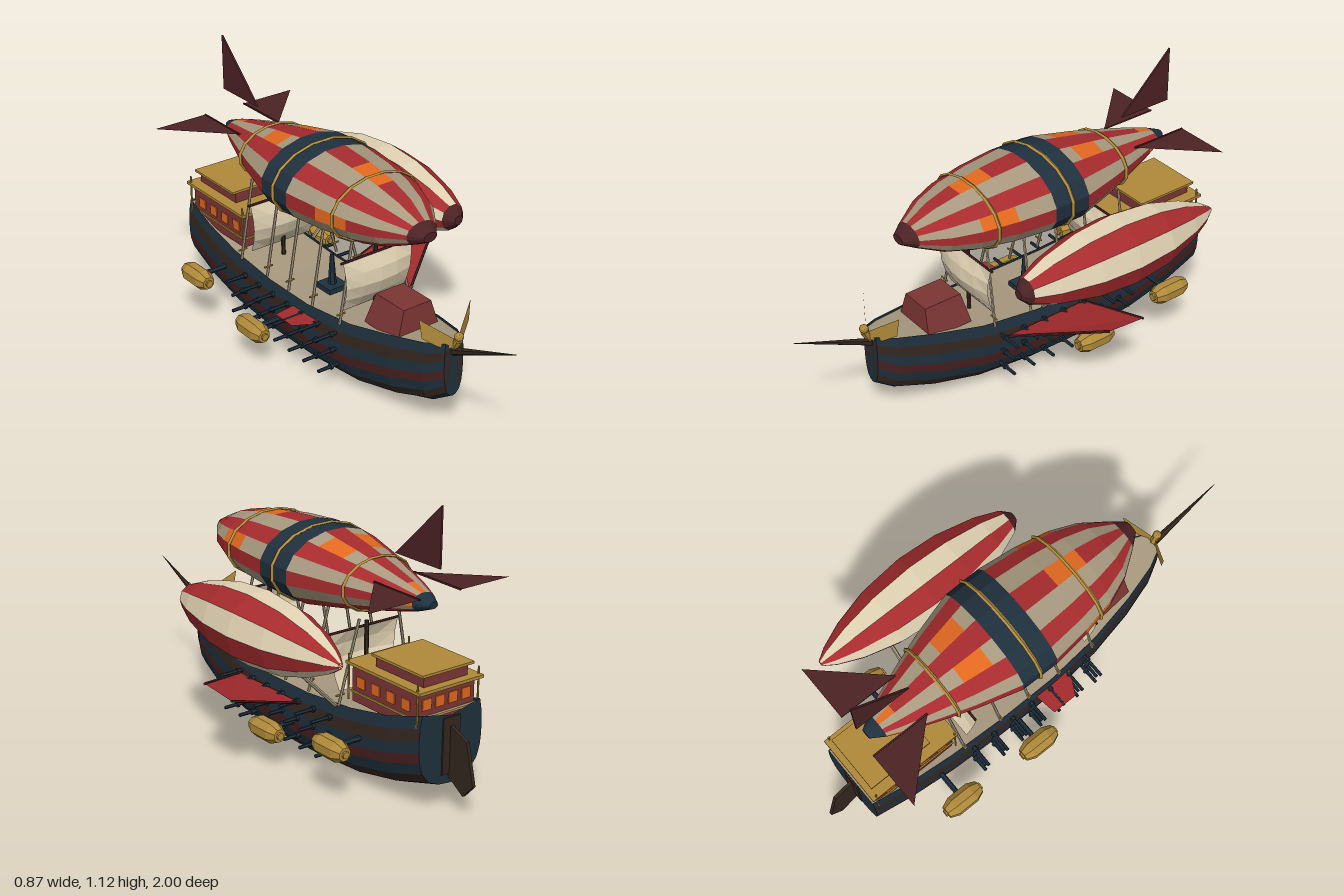
import * as THREE from 'three';

const paint = (name, color) => new THREE.MeshStandardMaterial({ name, color, flatShading: true, side: THREE.DoubleSide });
const M = {
  navy: paint('navy', 0x1f303d), brown: paint('dark brown', 0x35271f), plank: paint('plank red', 0x48201f),
  tan: paint('tan', 0xa8997f), cream: paint('cream', 0xe2d3b4), red: paint('red', 0xa62b2e),
  gold: paint('gold', 0xb08a3a), orange: paint('orange', 0xe2691f), maroon: paint('maroon', 0x4c2224),
  cabin: paint('cabin red', 0x7c3634),
};
const V = (x, y, z) => new THREE.Vector3(x, y, z);

export function createModel() {
  const model = new THREE.Group();
  model.name = 'airship';
  const ship = new THREE.Group();
  ship.name = 'ship';
  ship.position.x = -0.087;
  model.add(ship);

  const add = (name, geo, mat) => {
    const m = new THREE.Mesh(geo, mat);
    m.name = name;
    ship.add(m);
    return m;
  };
  const box = (name, mat, w, h, d, x, y, z) => add(name, new THREE.BoxGeometry(w, h, d).translate(x, y, z), mat);
  // straight round bar between two points
  const rod = (name, mat, a, b, r0, r1 = r0, sides = 6) => {
    const m = add(name, new THREE.CylinderGeometry(r1, r0, a.distanceTo(b), sides), mat);
    m.position.copy(a).lerp(b, 0.5);
    m.quaternion.setFromUnitVectors(V(0, 1, 0), b.clone().sub(a).normalize());
    return m;
  };
  // faces between rows of points, coloured quad by quad
  const skin = (name, rows, pick) => {
    const buckets = new Map();
    for (let i = 0; i < rows.length - 1; i++) {
      for (let j = 0; j < rows[i].length - 1; j++) {
        const mat = pick(i, j);
        if (!buckets.has(mat)) buckets.set(mat, []);
        const a = rows[i][j], b = rows[i + 1][j], c = rows[i + 1][j + 1], d = rows[i][j + 1];
        buckets.get(mat).push(a, b, c, a, c, d);
      }
    }
    const geo = new THREE.BufferGeometry().setFromPoints([...buckets.values()].flat());
    let start = 0, k = 0;
    for (const pts of buckets.values()) {
      geo.addGroup(start, pts.length, k++);
      start += pts.length;
    }
    geo.computeVertexNormals();
    return add(name, geo, [...buckets.keys()]);
  };
  // thin flat panel from its outline
  const plate = (name, mat, pts) => {
    const tri = [];
    for (let i = 1; i < pts.length - 1; i++) tri.push(pts[0], pts[i], pts[i + 1]);
    const geo = new THREE.BufferGeometry().setFromPoints(tri);
    geo.computeVertexNormals();
    return add(name, geo, mat);
  };
  // striped gas bag: profile of [z, radius], closed at both ends
  const bag = (name, profile, n, phase, cx, cy, squash, pick) => {
    const ring = (z, r) => Array.from({ length: n + 1 }, (_, j) => {
      const t = phase + (j / n) * Math.PI * 2;
      return V(cx + r * Math.cos(t), cy + r * squash * Math.sin(t), z);
    });
    const last = profile[profile.length - 1];
    const rows = [[profile[0][0], 0], ...profile, [last[0], 0]].map(([z, r]) => ring(z, r));
    return skin(name, rows, (i, j) => pick(Math.min(Math.max(i - 1, 0), profile.length - 2), j));
  };

  // Hull: stations of [z, half width, sheer height, keel height]
  const stations = [
    [0.675, 0.045, 0.385, 0.15], [0.6, 0.085, 0.37, 0.10], [0.45, 0.127, 0.345, 0.055],
    [0.25, 0.162, 0.31, 0.017], [0, 0.182, 0.29, 0.002], [-0.25, 0.182, 0.29, 0],
    [-0.5, 0.176, 0.31, 0.012], [-0.7, 0.165, 0.345, 0.05], [-0.865, 0.15, 0.395, 0.10],
  ];
  const half = [[0.92, 1], [0.98, 0.84], [1, 0.68], [1, 0.52], [0.97, 0.38], [0.88, 0.23], [0.66, 0.09], [0.33, 0.02]];
  const section = [...half.map(([x, y]) => [-x, y]), [0, 0], ...half.map((p) => p).reverse()];
  const hullRows = stations.map(([z, b, s, k]) => section.map(([x, y]) => V(x * b, k + y * (s - k), z)));
  const endRow = ([z, , s, k]) => section.map(() => V(0, k + 0.9 * (s - k), z));
  const strakes = [M.navy, M.brown, M.navy, M.plank, M.navy, M.brown, M.navy, M.navy];
  skin('hull', [endRow(stations[0]), ...hullRows, endRow(stations[8])],
    (i, j) => (i === 9 ? M.navy : strakes[j < 8 ? j : 15 - j]));
  skin('deck', stations.map(([z, b, s]) => [V(0.92 * b, s - 0.012, z), V(-0.92 * b, s - 0.012, z)]), () => M.tan);

  // Stern panel and rudder
  box('sternPanel', M.brown, 0.08, 0.22, 0.008, 0, 0.25, -0.867);
  const rudder = new THREE.Shape([[0.86, 0.33], [0.955, 0.29], [0.995, 0.13], [0.945, 0.075], [0.86, 0.13]].map(([a, b]) => new THREE.Vector2(a, b)));
  add('rudder', new THREE.ExtrudeGeometry(rudder, { depth: 0.014, bevelEnabled: false }).rotateY(Math.PI / 2).translate(-0.007, 0, 0), M.brown);

  // Bowsprit and winged figurehead
  rod('bowsprit', M.brown, V(0, 0.325, 0.64), V(0, 0.482, 1), 0.018, 0.001);
  add('figureheadHead', new THREE.IcosahedronGeometry(0.018, 1).translate(0, 0.412, 0.70), M.gold);
  rod('figureheadBody', M.gold, V(0, 0.35, 0.675), V(0, 0.40, 0.698), 0.012, 0.018);
  for (const s of [-1, 1]) {
    plate('figureheadWing', M.gold, [[0.01, 0.36], [0.01, 0.40], [0.122, 0.49], [0.112, 0.41], [0.06, 0.37]]
      .map(([x, y]) => V(s * x, y, 0.69 - 0.58 * x)));
  }

  // Foredeck hatch with sloping sides
  const hatchRow = (y, w, z0, z1) => [[w, z0], [w, z1], [-w, z1], [-w, z0], [w, z0]].map(([x, z]) => V(x, y, z));
  skin('hatch', [hatchRow(0.315, 0.10, 0.475, 0.275), hatchRow(0.435, 0.065, 0.465, 0.30), hatchRow(0.435, 0, 0.38, 0.38)], () => M.cabin);

  // Stern cabin in two tiers
  box('cabinLower', M.cabin, 0.27, 0.15, 0.36, 0, 0.40, -0.655);
  box('cabinRoof', M.gold, 0.306, 0.012, 0.41, 0, 0.476, -0.66);
  box('cabinSill', M.gold, 0.28, 0.008, 0.37, 0, 0.365, -0.655);
  box('cabinUpper', M.cabin, 0.21, 0.045, 0.26, 0, 0.503, -0.70);
  box('upperRoof', M.gold, 0.245, 0.01, 0.28, 0, 0.53, -0.705);
  for (let i = 0; i < 4; i++) {
    const z = -0.525 - i * 0.083;
    for (const s of [-1, 1]) box('sideWindow', M.orange, 0.006, 0.042, 0.045, s * 0.136, 0.408, z);
    box('sternWindow', M.orange, 0.042, 0.042, 0.006, -0.093 + i * 0.062, 0.418, -0.836);
  }
  for (const x of [-0.145, 0.145]) for (const z of [-0.465, -0.845]) rod('cabinPost', M.gold, V(x, 0.33, z), V(x, 0.51, z), 0.004);

  // Masts and sails
  for (const z of [0.215, -0.39]) {
    rod('mast', M.brown, V(0, 0.27, z), V(0, 0.585, z), 0.009);
    rod('yard', M.maroon, V(-0.172, 0.562, z + 0.01), V(0.172, 0.562, z + 0.01), 0.005);
    const rows = [0, 0.25, 0.5, 0.75, 1].map((v) => [-1, -0.5, 0, 0.5, 1].map((u) =>
      V(u * (0.163 - 0.02 * v), 0.56 - 0.22 * v, z + 0.012 + 0.045 * Math.sin(v * Math.PI) * (1 - 0.5 * u * u) - 0.03 * v)));
    skin('sail', rows, () => M.cream);
  }

  // Capstan amidships
  box('capstanBase', M.navy, 0.09, 0.025, 0.09, 0, 0.287, -0.06);
  rod('capstanPost', M.navy, V(0, 0.29, -0.06), V(0, 0.43, -0.06), 0.018, 0.008);

  // Shrouds from deck edge to the gas bag, each on a gold foot
  for (const z of [0.215, 0.04, -0.115, -0.26, -0.44]) {
    for (const s of [-1, 1]) {
      rod('shroud', M.tan, V(s * 0.172, 0.30, z), V(s * 0.095, 0.63, z - 0.02), 0.006);
      rod('shroudFoot', M.gold, V(s * 0.145, 0.342, z), V(s * 0.184, 0.342, z), 0.004);
    }
  }

  // Cannons in three rows on both sides
  const gunRows = [[0.245, 0.272], [0.175, 0.25], [0.103, 0.25]];
  for (const s of [-1, 1]) {
    for (let i = 0; i < 7; i++) {
      const z = 0.18 - i * 0.097;
      for (const [y, reach] of gunRows) {
        rod('cannon', M.navy, V(s * 0.15, y, z), V(s * reach, y, z), 0.008, 0.007);
        rod('cannonCollar', M.navy, V(s * 0.183, y, z), V(s * 0.193, y, z), 0.013);
      }
    }
    // Engine pods on struts
    for (const [y, z] of [[0.149, -0.175], [0.214, -0.565]]) {
      rod('engineStrut', M.navy, V(s * 0.14, y, z), V(s * 0.30, y, z), 0.011);
      const pod = [[0, -0.082], [0.027, -0.082], [0.043, -0.045], [0.043, 0.045], [0.027, 0.082], [0, 0.082]].map(([r, l]) => new THREE.Vector2(r, l));
      add('enginePod', new THREE.LatheGeometry(pod, 8, Math.PI / 8).rotateX(Math.PI / 2).translate(s * 0.307, y, z), M.gold);
      rod('engineHub', M.gold, V(s * 0.307, y, z - 0.09), V(s * 0.307, y, z + 0.09), 0.015, 0.015, 8);
    }
  }

  // Side wings: one spread, one folded
  plate('spreadWing', M.red, [V(0.185, 0.243, 0.17), V(0.515, 0.352, -0.07), V(0.515, 0.338, -0.24), V(0.185, 0.243, -0.22)]);
  rod('wingSpar', M.maroon, V(0.18, 0.24, 0.17), V(0.515, 0.352, -0.07), 0.006);
  rod('wingSpar', M.maroon, V(0.18, 0.24, -0.22), V(0.515, 0.338, -0.24), 0.005);
  plate('foldedWing', M.red, [V(-0.17, 0.25, 0.10), V(-0.272, 0.25, 0.045), V(-0.272, 0.25, -0.065), V(-0.17, 0.25, -0.08)]);

  // Main gas bag with band, patches and end caps
  const mainProfile = [
    [0.53, 0.03], [0.48, 0.071], [0.38, 0.142], [0.27, 0.187], [0.125, 0.218], [-0.035, 0.236], [-0.195, 0.234],
    [-0.25, 0.218], [-0.37, 0.183], [-0.5, 0.137], [-0.63, 0.087], [-0.70, 0.055], [-0.755, 0.02],
  ];
  const patches = new Set(['3,3', '3,0', '3,7', '3,11', '7,2', '7,4', '7,9', '10,3', '10,15', '10,7']);
  const step = Math.PI / 8;
  bag('mainBag', mainProfile, 16, step / 2, 0, 0.745, 0.635, (i, j) => {
    if (i === 0) return M.maroon;
    if (i === 5 || i === 11) return M.navy;
    if (patches.has(`${i},${j}`)) return M.orange;
    return j % 2 ? M.red : M.tan;
  });
  for (const [z, r] of [[0.21, 0.205], [-0.115, 0.239], [-0.443, 0.162]]) {
    add('bagHoop', new THREE.TorusGeometry(r, 0.008, 4, 16).rotateZ(step / 2).scale(1, 0.635, 1).translate(0, 0.745, z), M.gold);
  }

  // Tail fins
  for (const s of [-1, 1]) {
    box('finRoot', M.maroon, 0.006, 0.006, 0.25, s * 0.095, 0.795, -0.665);
    plate('sideFin', M.maroon, [V(s * 0.095, 0.795, -0.54), V(s * 0.095, 0.795, -0.79), V(s * 0.333, 0.795, -0.79)]);
  }
  const fin = new THREE.Shape([new THREE.Vector2(0.545, 0.888), new THREE.Vector2(0.785, 0.888), new THREE.Vector2(0.785, 1.12)]);
  add('topFin', new THREE.ExtrudeGeometry(fin, { depth: 0.008, bevelEnabled: false }).rotateY(Math.PI / 2).translate(-0.004, 0, 0), M.maroon);

  // Outrigger balloon and its poles
  const sideProfile = [
    [0.257, 0.02], [0.22, 0.055], [0.12, 0.095], [-0.05, 0.134], [-0.22, 0.146],
    [-0.4, 0.129], [-0.55, 0.088], [-0.65, 0.044], [-0.698, 0.012],
  ];
  bag('sideBalloon', sideProfile, 10, 0, 0.374, 0.586, 1, (i, j) => (i === 0 ? M.maroon : j % 2 ? M.red : M.cream));
  for (const z of [-0.02, -0.42]) rod('balloonPole', M.tan, V(0.17, 0.295, z), V(0.345, 0.47, z), 0.008);

  return model;
}
